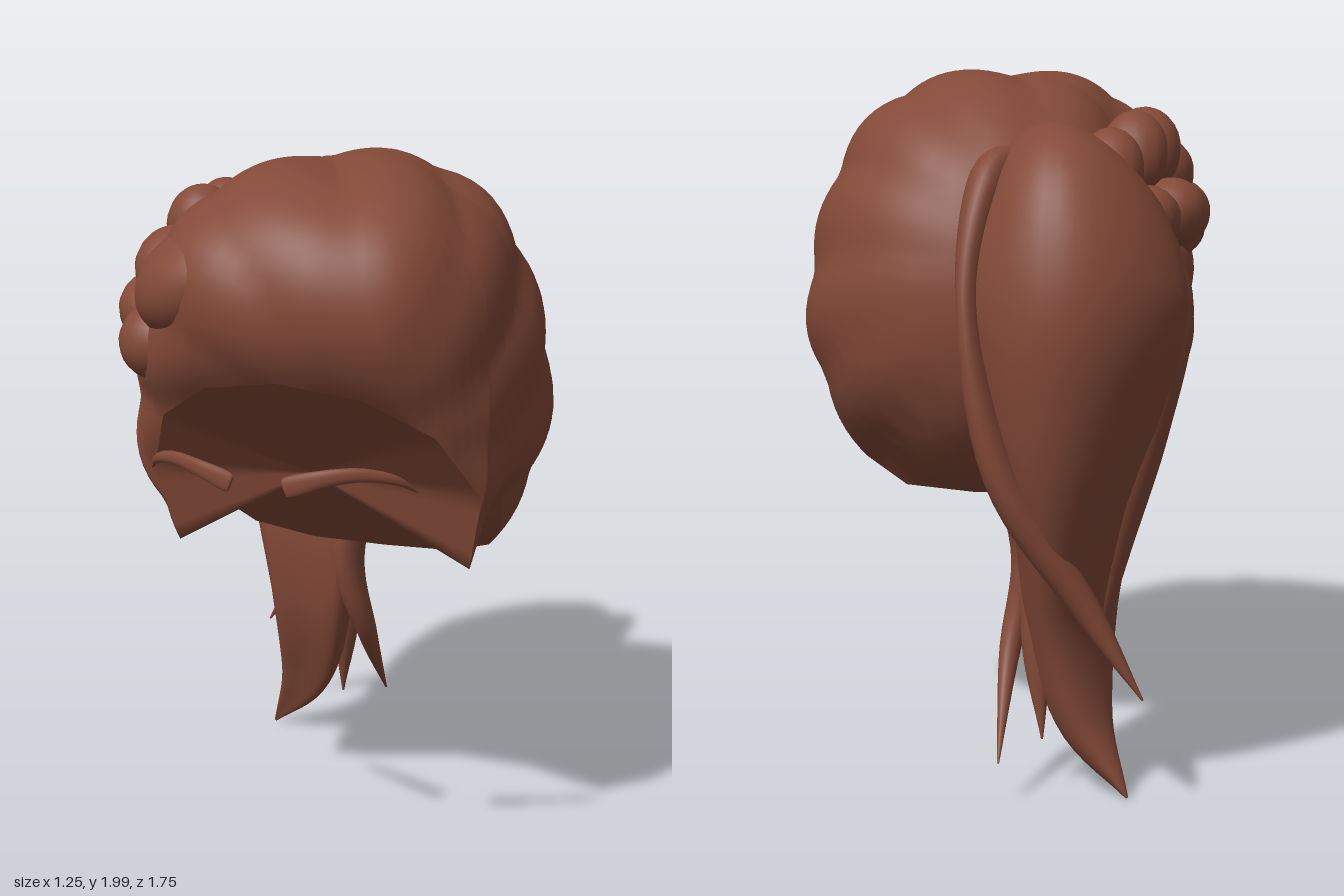
import * as THREE from 'three';

const V = (x, y, z) => new THREE.Vector3(x, y, z);
const hair = new THREE.MeshStandardMaterial({ color: 0x844a38 });
hair.name = 'auburn brown';

// Smooth grid wrapped around in u (0..1) and open in v (0..1)
function wrappedGrid(nu, nv, point, flip = false) {
  const pos = [], idx = [];
  for (let j = 0; j <= nv; j++)
    for (let i = 0; i < nu; i++) pos.push(...point(i / nu, j / nv).toArray());
  for (let j = 0; j < nv; j++)
    for (let i = 0; i < nu; i++) {
      const a = j * nu + i, b = j * nu + (i + 1) % nu, c = a + nu, d = b + nu;
      if (flip) idx.push(a, c, b, b, c, d);
      else idx.push(a, b, c, b, d, c);
    }
  const g = new THREE.BufferGeometry();
  g.setAttribute('position', new THREE.Float32BufferAttribute(pos, 3));
  g.setIndex(idx);
  g.computeVertexNormals();
  return g;
}

// Tapering lock: each row is x, y, z, half width, half thickness; bend curls its sides forward
function lock(rows, ref = V(1, 0, 0), bend = 0, sides = 16, steps = 40) {
  const path = new THREE.CatmullRomCurve3(rows.map(r => V(r[0], r[1], r[2])), false, 'catmullrom');
  const size = new THREE.CatmullRomCurve3(rows.map(r => V(r[3], r[4], 0)), false, 'catmullrom');
  return wrappedGrid(sides, steps, (u, v) => {
    const t = path.getTangent(v), r = size.getPoint(v);
    const s = ref.clone().addScaledVector(t, -ref.dot(t)).normalize();
    const n = t.clone().cross(s), a = u * Math.PI * 2;
    return path.getPoint(v)
      .addScaledVector(s, Math.cos(a) * Math.max(r.x, 0.002))
      .addScaledVector(n, (Math.sin(a) + bend * Math.cos(a) ** 2) * Math.max(r.y, 0.002));
  });
}

// Swept-back volume of the head hair
const C = V(0.08, 1.35, 0.16);
const tieAxis = V(-0.2, 0.12, -0.6).normalize();
const axisX = V(1, 0, 0).addScaledVector(tieAxis, -tieAxis.x).normalize();
const axisY = tieAxis.clone().cross(axisX);

function volume(dir) {
  // the braided side is fuller below than above
  const a = dir.x > 0 ? 0.55 : 0.585 - 0.075 * THREE.MathUtils.smoothstep(dir.y, 0, 0.6);
  const b = dir.y > 0 ? 0.645 : 0.59, c = dir.z > 0 ? 0.685 : 0.635;
  const p = 2.15 + 1.6 * Math.max(0, dir.z) * Math.max(0, dir.y);
  const r = Math.pow(Math.abs(dir.x / a) ** p + Math.abs(dir.y / b) ** p + Math.abs(dir.z / c) ** p, -1 / p);
  // combed strands converge on the hair tie
  const psi = Math.atan2(dir.dot(axisY), dir.dot(axisX)), along = dir.dot(tieAxis);
  const fade = 1 - along * along;
  const strand = Math.abs(Math.sin(psi * 6 + along * 0.9)) - 0.6;
  return C.clone().addScaledVector(dir, r + 0.026 * fade * strand + 0.008 * fade * Math.sin(psi * 5));
}

// Hairline: fringe, temple, sideburn, ear notch, nape (offset from middle, y, z)
const half = [
  [0, 1.44, 0.73], [0.23, 1.4, 0.68], [0.4, 1.29, 0.58], [0.49, 1.1, 0.45], [0.44, 0.88, 0.395],
  [0.475, 1.07, 0.31], [0.475, 1.07, 0.21], [0.44, 0.93, 0.1], [0.37, 0.84, 0],
  [0.22, 0.78, -0.1], [0, 0.77, -0.12],
];
const rim = [...half, ...half.slice(1, -1).reverse().map(([x, y, z]) => [-x, y, z])]
  .map(([x, y, z]) => V(C.x + x, y, z));
function rimPoint(u) {
  const f = u * rim.length, i = Math.floor(f + 1e-6) % rim.length;
  return rim[i].clone().lerp(rim[(i + 1) % rim.length], Math.max(0, f - Math.floor(f + 1e-6)));
}

function shellPoint(u, v) {
  const edge = rimPoint(u), d = edge.clone().sub(C).normalize();
  const phi = Math.atan2(d.x, d.z), e0 = Math.asin(d.y);
  const e = e0 + (Math.PI / 2 - e0) * v;
  const dir = V(Math.sin(phi) * Math.cos(e), Math.sin(e), Math.cos(phi) * Math.cos(e));
  const shift = edge.sub(volume(d)).multiplyScalar((1 - v) ** 7);
  return volume(dir).add(shift);
}

export function createModel() {
  const model = new THREE.Group();
  model.name = 'hairstyle';
  const add = (name, geometry, parent = model) => {
    const m = new THREE.Mesh(geometry, hair);
    m.name = name;
    parent.add(m);
    return m;
  };

  add('headHair', wrappedGrid(rim.length * 5, 44, shellPoint));

  // Underside closes the hairline towards a point behind the brow
  const inner = V(0.06, 1.12, 0.42);
  add('underside', wrappedGrid(rim.length * 5, 6, (u, v) => rimPoint(u).lerp(inner, v), true));

  // Rolled fringe above the braid
  const roll = add('fringeRoll', new THREE.SphereGeometry(1, 32, 24));
  roll.position.set(-0.17, 1.68, 0.51);
  roll.scale.set(0.25, 0.17, 0.25);
  roll.rotation.z = 0.45;

  // Side braid: plump pieces in a lower and an upper row (x, y, z, radii)
  const braid = new THREE.Group();
  braid.name = 'sideBraid';
  model.add(braid);
  const pieces = [
    [-0.35, 1.49, 0.54, 0.11, 0.11, 0.11], [-0.42, 1.56, 0.41, 0.1, 0.1, 0.11],
    [-0.43, 1.54, 0.25, 0.1, 0.1, 0.12], [-0.46, 1.59, 0.07, 0.105, 0.1, 0.12],
    [-0.41, 1.59, -0.08, 0.1, 0.09, 0.11], [-0.36, 1.68, 0.4, 0.11, 0.11, 0.13],
    [-0.35, 1.76, 0.21, 0.11, 0.13, 0.11], [-0.35, 1.76, 0.04, 0.1, 0.13, 0.1],
    [-0.31, 1.72, -0.12, 0.1, 0.13, 0.1],
  ];
  for (const [x, y, z, rx, ry, rz] of pieces) {
    const piece = add('braidPiece', new THREE.SphereGeometry(1, 18, 14), braid);
    piece.position.set(x, y, z);
    piece.scale.set(rx, ry, rz);
    piece.rotation.x = 0.4;
  }

  // Ponytail: one broad body and thinner locks around it
  const tail = new THREE.Group();
  tail.name = 'ponytail';
  model.add(tail);
  add('tailBody', lock([
    [-0.12, 1.7, -0.22, 0.07, 0.06], [-0.18, 1.74, -0.4, 0.17, 0.13], [-0.27, 1.67, -0.57, 0.26, 0.2],
    [-0.29, 1.42, -0.67, 0.32, 0.205], [-0.28, 1.1, -0.61, 0.27, 0.23], [-0.27, 0.8, -0.52, 0.18, 0.22],
    [-0.26, 0.5, -0.47, 0.13, 0.15], [-0.31, 0.22, -0.49, 0.085, 0.07], [-0.45, 0.005, -0.53, 0.004, 0.004],
  ], V(1, 0, 0), 0.6, 42, 56), tail);
  const side = V(0, 0, 1);
  add('frontLock', lock([
    [-0.1, 1.72, -0.3, 0.05, 0.04], [-0.05, 1.68, -0.46, 0.11, 0.06], [-0.02, 1.4, -0.52, 0.11, 0.05],
    [-0.09, 0.95, -0.41, 0.1, 0.06], [-0.13, 0.65, -0.36, 0.07, 0.05],
    [-0.09, 0.38, -0.43, 0.035, 0.03], [-0.11, 0.12, -0.66, 0.003, 0.003],
  ], side), tail);
  add('backLock', lock([
    [-0.13, 1.77, -0.4, 0.04, 0.04], [-0.07, 1.72, -0.57, 0.1, 0.06], [-0.05, 1.4, -0.7, 0.1, 0.04],
    [-0.14, 0.95, -0.74, 0.07, 0.05], [-0.35, 0.58, -0.65, 0.045, 0.04], [-0.51, 0.32, -0.63, 0.003, 0.003],
  ], side), tail);
  add('outerLock', lock([
    [-0.25, 1.74, -0.3, 0.04, 0.04], [-0.46, 1.62, -0.42, 0.07, 0.05], [-0.56, 1.38, -0.46, 0.08, 0.05],
    [-0.49, 1.05, -0.47, 0.08, 0.06], [-0.39, 0.7, -0.44, 0.07, 0.05], [-0.33, 0.35, -0.47, 0.01, 0.01],
  ], side), tail);
  add('innerLock', lock([
    [-0.22, 0.8, -0.45, 0.06, 0.06], [-0.18, 0.45, -0.46, 0.05, 0.05], [-0.2, 0.15, -0.5, 0.003, 0.003],
  ], side), tail);

  // Eyebrows, mirrored about the middle of the face
  for (const s of [-1, 1]) {
    const rows = [
      [0.083, 1.195, 0.865, 0.028, 0.007], [0.18, 1.222, 0.845, 0.024, 0.009], [0.27, 1.23, 0.8, 0.019, 0.009],
      [0.345, 1.21, 0.745, 0.013, 0.008], [0.385, 1.17, 0.69, 0.003, 0.003],
    ].map(([x, ...rest]) => [0.083 + s * x, ...rest]);
    // a small end row closes the inner tip
    rows.unshift([rows[0][0] - s * 0.002, 1.194, 0.865, 0.002, 0.002]);
    add(s > 0 ? 'leftEyebrow' : 'rightEyebrow', lock(rows, V(0, 1, 0), 0, 10, 30));
  }
  return model;
}
